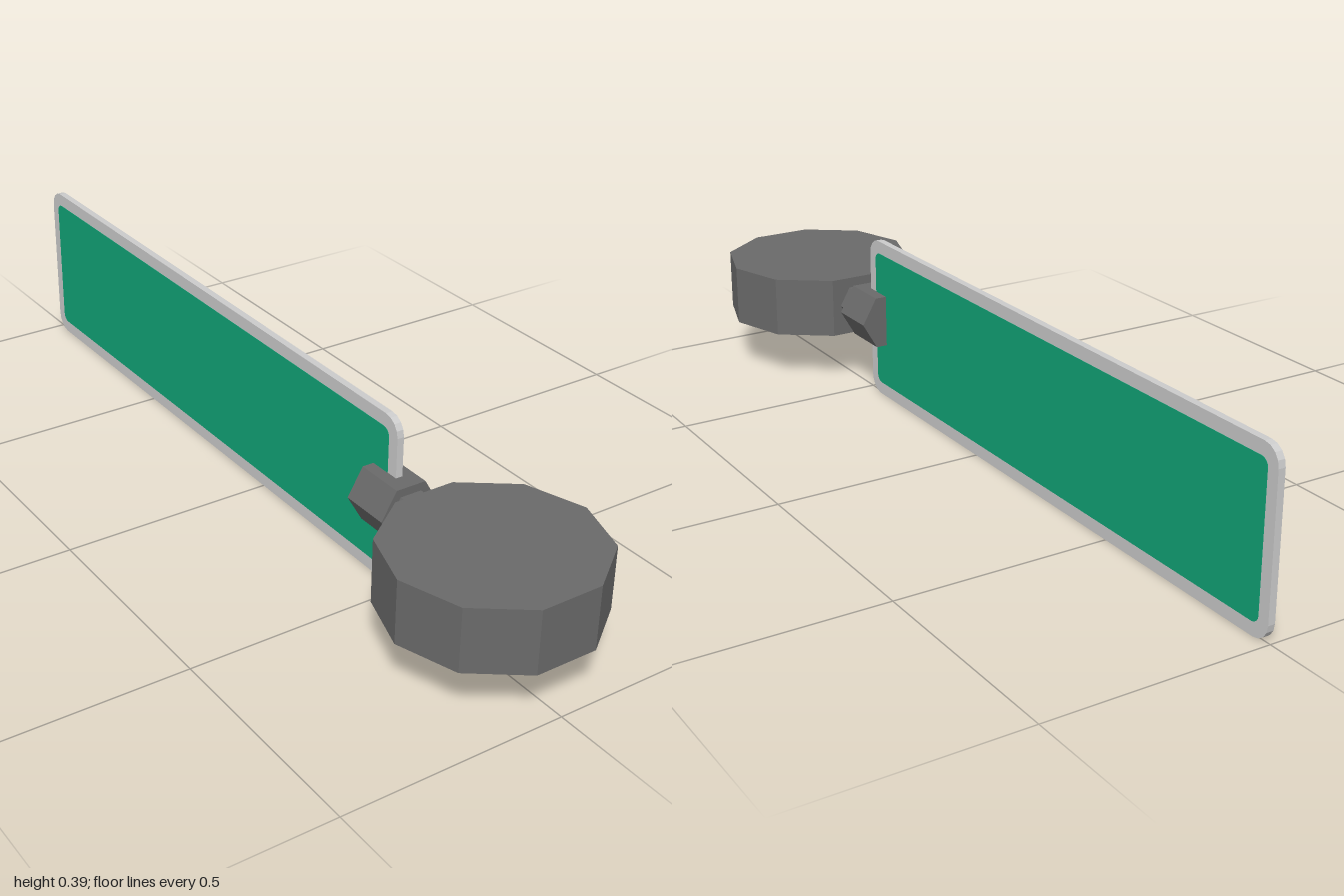
import * as THREE from 'three';

const material = (color) => new THREE.MeshStandardMaterial({ color, flatShading: true });

// Flat board with rounded corners in the YZ plane, centred on x = 0
function board(name, length, height, radius, thickness, mat) {
  const a = length / 2 - radius, b = height / 2 - radius, q = Math.PI / 2;
  const shape = new THREE.Shape();
  [[a, b], [-a, b], [-a, -b], [a, -b]].forEach(([x, y], i) =>
    shape.absarc(x, y, radius, i * q, (i + 1) * q, false));
  shape.closePath();
  const geo = new THREE.ExtrudeGeometry(shape, { depth: thickness, bevelEnabled: false, curveSegments: 2 });
  geo.translate(0, 0, -thickness / 2).rotateY(q);
  const mesh = new THREE.Mesh(geo, mat);
  mesh.name = name;
  return mesh;
}

// Hexagonal bar along z with corners on the left and right
function hexBar(name, radius, z0, z1, mat) {
  const geo = new THREE.CylinderGeometry(radius, radius, z1 - z0, 6, 1, false, Math.PI / 6);
  geo.rotateX(Math.PI / 2);
  const mesh = new THREE.Mesh(geo, mat);
  mesh.name = name;
  mesh.position.set(0, 0.197, (z0 + z1) / 2);
  return mesh;
}

export function createModel() {
  const group = new THREE.Group();
  group.name = 'streetSign';
  const dark = material(0x6a6a6a);

  // Sign plate: pale border with a green face on both sides
  const border = board('signBorder', 1.485, 0.388, 0.04, 0.016, material(0xcccccc));
  border.position.set(0, 0.194, -0.2575);
  const face = board('signFace', 1.43, 0.328, 0.018, 0.0175, material(0x11a577));
  face.position.copy(border.position);
  group.add(border, face);

  // Ten-sided mounting drum
  const drum = new THREE.Mesh(
    new THREE.CylinderGeometry(0.228, 0.228, 0.142, 10, 1, false, Math.PI / 10), dark);
  drum.name = 'mountDrum';
  drum.position.set(0, 0.194, 0.783);
  group.add(drum);

  // Neck and clamp holding the plate
  group.add(hexBar('neck', 0.05, 0.515, 0.575, dark));
  group.add(hexBar('clamp', 0.071, 0.41, 0.525, dark));

  return group;
}
